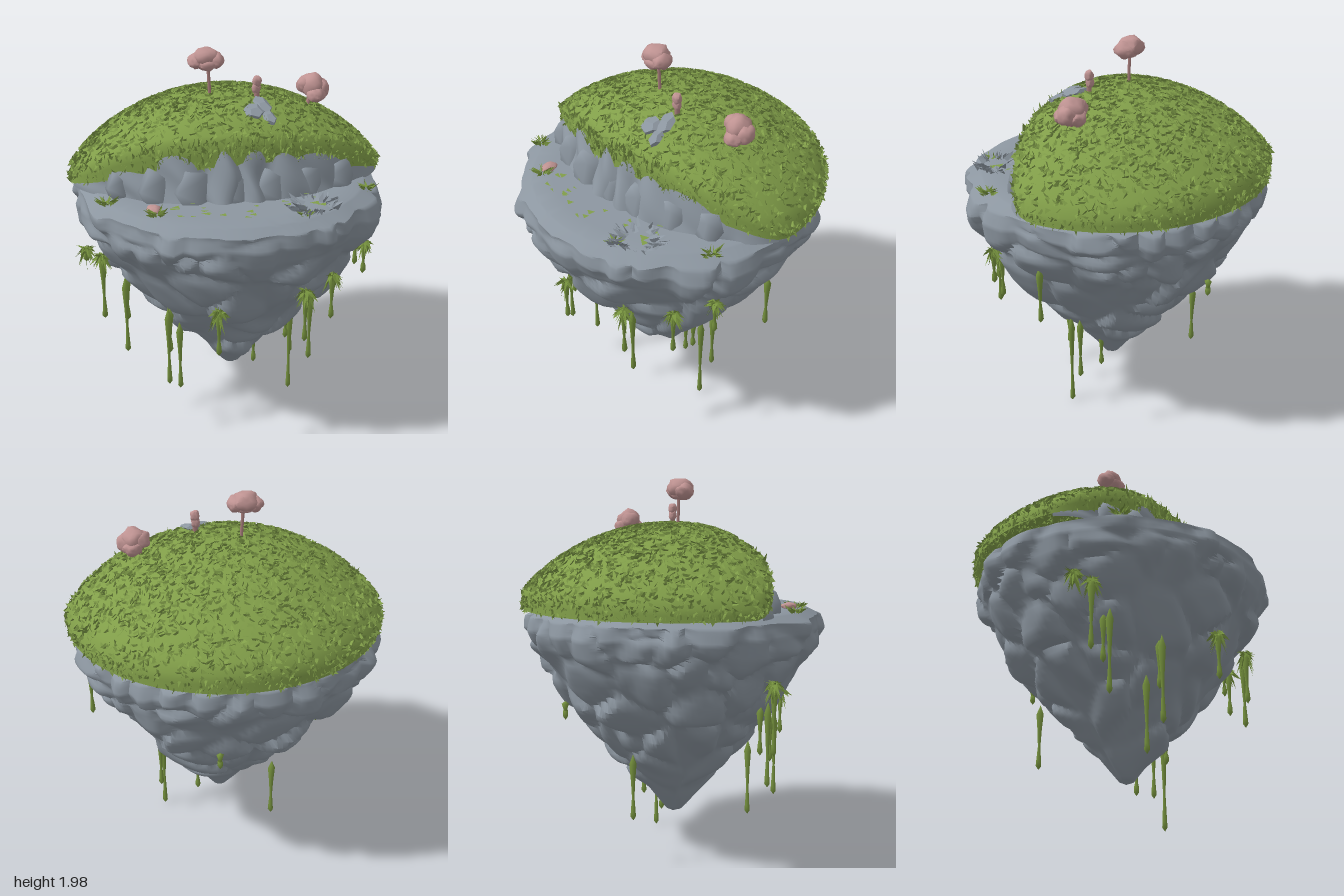
import * as THREE from 'three';
import { toCreasedNormals } from 'three/addons/utils/BufferGeometryUtils.js';
import { ParametricGeometry } from 'three/addons/geometries/ParametricGeometry.js';

const { sin, cos, abs, min, max, hypot, PI } = Math;

export function createModel() {
  const model = new THREE.Group();
  let seed = 7;
  const rnd = (a = 0, b = 1) => {
    seed = (seed * 16807) % 2147483647;
    return a + (b - a) * seed / 2147483647;
  };
  const mat = (name, color, side = THREE.FrontSide) => {
    const m = new THREE.MeshStandardMaterial({ color, side });
    m.name = name;
    return m;
  };
  const rock = mat('grey rock', 0x8c96a0);
  const spike = mat('grey spikes', 0x8c96a0, THREE.DoubleSide);
  const grass = mat('grass green', 0x819e49, THREE.DoubleSide);
  const bladeGreen = mat('blade green', 0x799544, THREE.DoubleSide);
  const vineGreen = mat('vine green', 0x76923e, THREE.DoubleSide);
  const blossom = mat('blossom pink', 0xbf9392);
  const bark = mat('bark', 0xa87e7c);

  const add = (name, geo, material, parent = model) => {
    const m = new THREE.Mesh(geo, material);
    m.name = name;
    parent.add(m);
    return m;
  };
  const V = (x, y, z) => new THREE.Vector3(x, y, z);

  // Rock body: a revolved profile swollen into large boulders by nearest-seed cells
  const profile = [[0, .185], [.05, .2], [.14, .3], [.27, .45], [.395, .6], [.555, .8], [.69, 1],
    [.77, 1.13], [.8, 1.22], [.785, 1.29], [.71, 1.328], [0, 1.335]];
  const bodyPoint = (angle, v, out) => {
    const s = min(v * 11, 10.999), i = Math.floor(s), f = s - i;
    const r = profile[i][0] * (1 - f) + profile[i + 1][0] * f;
    const y = profile[i][1] * (1 - f) + profile[i + 1][1] * f;
    const tip = max(0, 1 - y) * .03, back = 1 + .05 * min(0, cos(angle));
    return out.set(r * sin(angle) + tip, y, r * cos(angle) * back + tip);
  };
  const cells = [];
  for (let i = 0; i < 85; i++) {
    cells.push({
      p: bodyPoint(rnd(0, 2 * PI), Math.sqrt(rnd(.04, .7)), V(0, 0, 0)),
      tilt: V(rnd(-1, 1), rnd(-1, 1), rnd(-1, 1)).multiplyScalar(.3),
      lift: rnd(.025, .055),
    });
  }
  const rel = V(0, 0, 0);
  const body = new ParametricGeometry((u, v, p) => {
    const a = (u % 1) * 2 * PI;
    bodyPoint(a, v, p);
    let d1 = 9, d2 = 9, cell;
    for (const c of cells) {
      const d = c.p.distanceTo(p);
      if (d < d1) { d2 = d1; d1 = d; cell = c; } else if (d < d2) d2 = d;
    }
    const fade = min(1, v * 5) * min(1, max(0, (10 / 11 - v) * 9));
    const q = 1 - min(1, (d2 - d1) / .13);
    const tilt = THREE.MathUtils.clamp(cell.tilt.dot(rel.copy(p).sub(cell.p)), -.025, .025);
    const bulge = ((1 - q * q) * (cell.lift + tilt) - .025) * fade;
    p.x += sin(a) * bulge;
    p.z += cos(a) * bulge;
    p.y -= bulge * .35;
  }, 150, 77);
  add('rockBody', toCreasedNormals(body, .9), rock);

  // Front border of the meadow and height of its lower edge
  const W = .81, D = .36, P = 1.75;
  const bow = x => max(0, 1 - (x / .82) ** 2);
  const frontZ = x => D * (1 - abs(x / W) ** P) ** (1 / P);
  const border = a => {
    const s = abs(sin(a)), c = cos(a);
    return c <= 0 ? 1 / hypot(s / W, c / .78) : ((s / W) ** P + (c / D) ** P) ** (-1 / P);
  };
  const edgeY = a => {
    const x = border(a) * sin(a);
    return 1.325 + (cos(a) > 0 ? bow(x) * (.18 + .015 * sin(x * 9) + .01 * sin(x * 31)) : 0);
  };
  const domeY = (a, f) => 1.355 + .41 * bow(border(a) * f) ** .78 - .075 * max(0, cos(a)) * f ** 4;

  // Cliff of rock columns between the ledge and the meadow
  const cliff = new ParametricGeometry((u, v, p) => {
    const x = (u * 2 - 1) * .8, h = bow(x);
    const col = abs(sin(x * 12 + 1.5 * sin(x * 7)));
    const knob = .05 * sin(x * 25 + v * 5) * v * (1 - v);
    const z = frontZ(x) + h * (.07 * (1 - v) - .03 + .05 * col * (1 - .5 * v) + knob);
    p.set(x + .02 * sin(v * 5 + x * 20) * h, 1.32 + v * (.03 + .25 * h), z);
  }, 90, 8);
  add('cliff', toCreasedNormals(cliff, .6), rock);

  // Grass dome with a short skirt
  const dome = new ParametricGeometry((u, v, p) => {
    const a = (u % 1) * 2 * PI, R = border(a), f = min(1, (1 - v) / .9);
    const k = min(1, v / .1);
    const r = R * f + (1 - k) * .006;
    p.set(r * sin(a), edgeY(a) * (1 - k) + domeY(a, f) * k, r * cos(a));
  }, 100, 20);
  add('grassDome', toCreasedNormals(dome, 1), grass);

  // Loose triangular blades collected into one mesh per colour
  const blades = { meadow: [], light: [], vine: [], spikes: [] };
  const blade = (list, base, dir, width) => {
    const side = V(rnd(-1, 1), rnd(-.4, .4), rnd(-1, 1)).cross(dir).normalize().multiplyScalar(width / 2);
    const tip = base.clone().add(dir);
    list.push(base.x - side.x, base.y - side.y, base.z - side.z,
      base.x + side.x, base.y + side.y, base.z + side.z, tip.x, tip.y, tip.z);
  };
  const tuft = (list, x, y, z, count, spread, length, rise) => {
    for (let i = 0; i < count; i++) {
      const a = rnd(0, 2 * PI), l = rnd(.6, 1) * length;
      blade(list, V(x + sin(a) * spread * rnd(), y, z + cos(a) * spread * rnd()),
        V(sin(a) * l, l * rise * rnd(.6, 1.2), cos(a) * l), length * .42);
    }
  };

  // Meadow blades over the dome
  for (let i = 0; i < 5200; i++) {
    const x = rnd(-.82, .82), z = rnd(-.8, .4), a = Math.atan2(x, z), f = hypot(x, z) / border(a);
    if (f > 1) continue;
    const n = V(x * 1.15, 1, z * 1.15).normalize();
    const dir = V(rnd(-1, 1), rnd(-1, 1), rnd(-1, 1)).cross(n).normalize().multiplyScalar(rnd(.018, .034));
    dir.addScaledVector(n, rnd(.004, .014));
    blade(i % 2 ? blades.meadow : blades.light, V(x, domeY(a, f) - .002, z), dir, .034);
  }
  // Fringe around the lower edge, taller along the cliff
  for (let i = 0; i < 1100; i++) {
    const a = rnd(-PI, PI), R = border(a) + .003, front = max(0, cos(a));
    const y = edgeY(a) + rnd(-.01, 1) * (domeY(a, 1) - edgeY(a));
    blade(i % 2 ? blades.meadow : blades.light, V(R * sin(a), y, R * cos(a)),
      V(sin(a) * .008 + rnd(-.015, .015), rnd(-.025, .03 + .03 * front), cos(a) * .008 + rnd(-.01, .01)), .02);
  }

  // Tufts, flecks and a ring of grey spikes on the ledge
  for (const [x, z] of [[-.65, .34], [-.42, .51], [.66, .35]]) {
    tuft(blades.vine, x, 1.335, z, 26, .035, .045, .6);
  }
  tuft(blades.vine, .28, 1.335, .62, 10, .04, .035, .5);
  for (let i = 0; i < 22; i++) {
    const a = rnd(-.9, .9), r = rnd(.47, .66), x = r * sin(a), z = max(r * cos(a), frontZ(x) + .06);
    const s = rnd(.012, .025), t = rnd(-.025, .025);
    blades.light.push(x - s, 1.341, z, x + t, 1.341, z + s, x + s, 1.341, z - t);
  }
  for (let i = 0; i < 60; i++) {
    const a = rnd(0, 2 * PI), r = rnd(.06, .12);
    blade(blades.spikes, V(.35 + r * sin(a), 1.335, .54 + r * cos(a)),
      V(sin(a) * .04 + rnd(-.01, .01), rnd(.012, .04), cos(a) * .04), .034);
  }

  // Hanging vines: x, z, top, bottom, leafy crown
  const vines = [[-.68, .2, 1.0, .62, 1], [-.57, .24, .88, .43, 0], [-.37, .42, .78, .32, 0],
    [-.3, .3, .62, .21, 0], [-.22, -.35, .6, .25, 0], [-.14, .62, .85, .59, 1], [.15, .02, .38, .16, 0],
    [.3, .6, .92, .62, 1], [.33, .57, .9, .5, 0], [.34, .09, .56, .01, 0], [.36, .02, .56, .2, 0],
    [.31, .12, .54, .36, 0], [.48, .43, .91, .64, 1], [.67, .33, 1.04, .84, 1], [.72, .01, 1.04, .73, 0],
    [-.76, .14, 1.02, .93, 1], [.08, -.59, .85, .75, 0], [-.56, .2, .86, .6, 0], [-.36, .4, .76, .5, 0]];
  const vineGroup = new THREE.Group();
  vineGroup.name = 'hangingVines';
  model.add(vineGroup);
  for (const [x, z, top, bottom, crown] of vines) {
    const h = top - bottom;
    const outline = [[0, 0], [.015, .02], [.013, .05], [.007, h * .35], [.012, h * .6], [.02, h * .85], [0, h]];
    const g = new THREE.LatheGeometry(outline.map(([r, y]) => new THREE.Vector2(r, y)), 5);
    add('vine', g, vineGreen, vineGroup).position.set(x, bottom, z);
    if (crown) {
      tuft(blades.vine, x, top - .01, z, 20, .015, .058, -.9);
      tuft(blades.vine, x, top - .03, z, 12, .02, .04, -2.5);
      tuft(blades.vine, x, top - .015, z, 8, .01, .045, .3);
    }
  }

  const bladeMesh = (name, list, material) => {
    const g = new THREE.BufferGeometry();
    g.setAttribute('position', new THREE.Float32BufferAttribute(list, 3));
    g.computeVertexNormals();
    add(name, g, material);
  };
  bladeMesh('meadowBlades', blades.meadow, bladeGreen);
  bladeMesh('lightBlades', blades.light, grass);
  bladeMesh('leafTufts', blades.vine, vineGreen);
  bladeMesh('greySpikes', blades.spikes, spike);

  // Blossom trees: trunk and a clump of lumpy crowns (x, y, z, sx, sy, sz)
  const tree = (name, foot, head, radius, crowns) => {
    const g = new THREE.Group();
    g.name = name;
    model.add(g);
    const path = new THREE.LineCurve3(V(...foot), V(...head));
    add('trunk', new THREE.TubeGeometry(path, 1, radius, 6), bark, g);
    for (const [x, y, z, sx, sy, sz] of crowns) {
      const geo = new THREE.IcosahedronGeometry(1, 2), p = geo.attributes.position;
      for (let i = 0; i < p.count; i++) {
        const v = V(0, 0, 0).fromBufferAttribute(p, i);
        v.multiplyScalar(1 + .14 * sin(v.x * 4 + x * 50) * cos(v.z * 4 + v.y * 3));
        p.setXYZ(i, v.x * sx, v.y * sy, v.z * sz);
      }
      add('blossomCrown', toCreasedNormals(geo, 1), blossom, g).position.set(x, y, z);
    }
  };
  tree('tallTree', [-.085, 1.74, -.01], [-.095, 1.92, -.01], .009,
    [[-.105, 1.947, -.01, .065, .05, .065], [-.15, 1.93, -.01, .045, .04, .05],
      [-.06, 1.932, 0, .045, .042, .055], [-.1, 1.915, .005, .05, .033, .055]]);
  tree('leaningTree', [.4, 1.63, .02], [.45, 1.75, -.02], .011,
    [[.45, 1.775, -.02, .062, .06, .065], [.415, 1.775, -.03, .045, .045, .05],
      [.5, 1.755, -.02, .04, .05, .05], [.46, 1.735, .025, .048, .04, .045], [.46, 1.74, -.06, .048, .04, .04]]);
  tree('sapling', [.14, 1.72, .085], [.14, 1.83, .085], .014,
    [[.14, 1.838, .085, .024, .03, .023], [.137, 1.803, .083, .023, .03, .02]]);
  tree('ledgeShrub', [-.42, 1.32, .5], [-.43, 1.34, .46], .008, [[-.43, 1.34, .46, .035, .018, .045]]);

  // Bare stones lying nearly flush in the meadow, and columns swelling from the cliff
  const stone = (name, x, y, z, sx, sy, sz, tilt, crease) => {
    const m = add(name, toCreasedNormals(new THREE.DodecahedronGeometry(1), crease), rock);
    m.position.set(x, y, z);
    m.scale.set(sx, sy, sz);
    m.rotation.set(tilt, .3, 0);
  };
  for (const [x, z, sx, sz] of [[.1, .22, .055, .06], [.15, .17, .045, .08], [.17, .25, .035, .06]]) {
    const a = Math.atan2(x, z);
    stone('meadowStone', x, domeY(a, hypot(x, z) / border(a)), z, sx, .022, sz, .36, .3);
  }
  for (const [x, s] of [[-.58, .07], [-.4, .1], [-.22, .11], [-.02, .09], [.17, .1], [.36, .09], [.54, .08]]) {
    stone('cliffColumn', x, 1.37, frontZ(x), s, s * 1.4, s * .75, -.25, 1.3);
  }
  return model;
}
